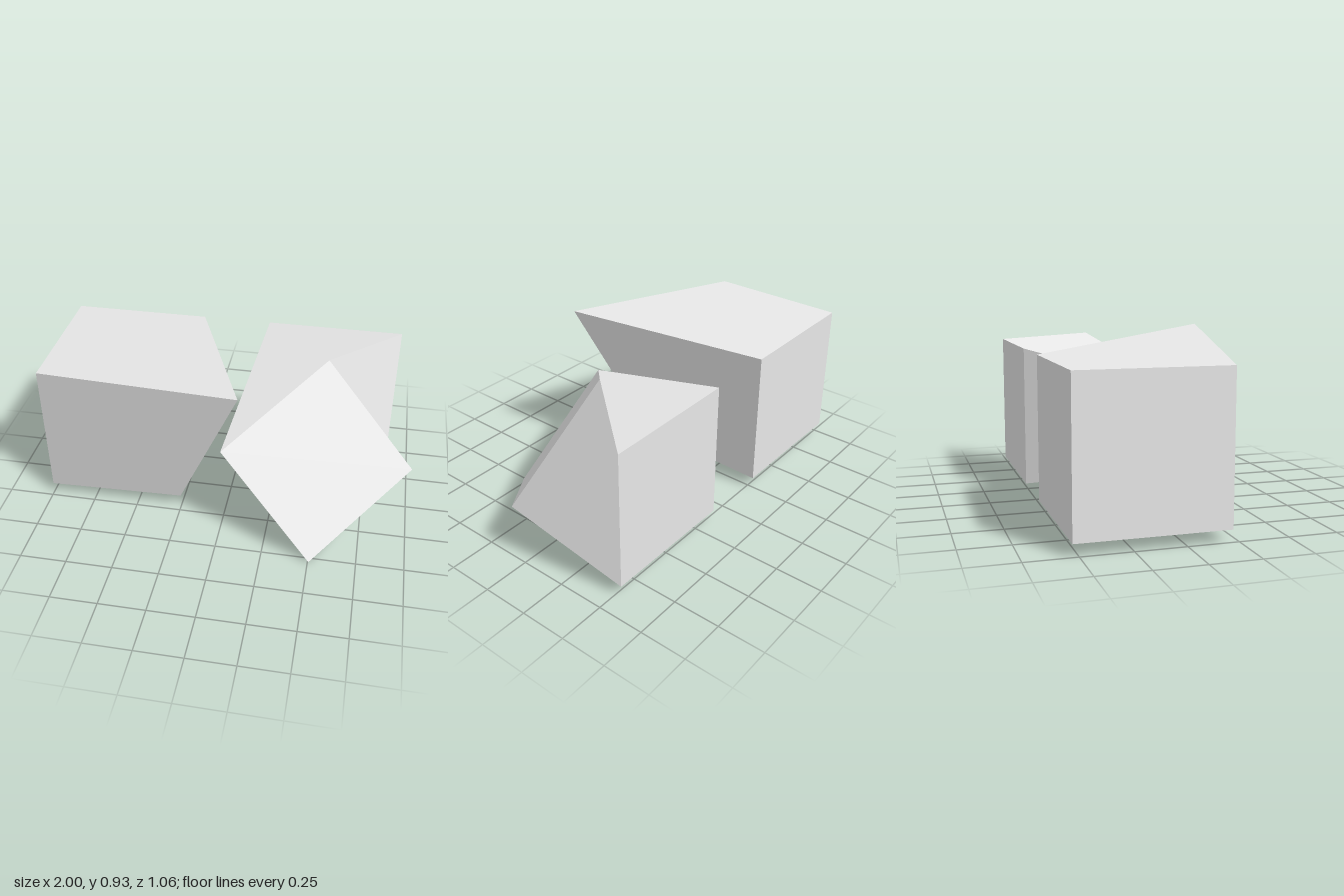
import * as THREE from 'three';

// Six faces, counter-clockwise from outside; each is split along its first-third corner.
// Corners 0-3 are the back (left-bottom, right-bottom, right-top, left-top in x/y), 4-7 the front.
const FACES = [
  [5, 7, 4, 6].length && [5, 6, 7, 4], // front
  [0, 3, 2, 1], // back
  [1, 2, 6, 5], // +x side
  [4, 7, 3, 0], // -x side
  [2, 3, 7, 6], // top
  [0, 1, 5, 4], // bottom
];
// First corner of the split on each face
const SPLIT = [5, 0, 1, 4, 2, 0];

// Six-sided block with one flat normal per face
function skewedBlock(corners) {
  const p = corners.map((c) => new THREE.Vector3(...c));
  const positions = [];
  const normals = [];
  FACES.forEach((face, f) => {
    const s = face.indexOf(SPLIT[f]);
    const [a, b, c, d] = [0, 1, 2, 3].map((i) => p[face[(s + i) % 4]]);
    const n = c.clone().sub(a).cross(d.clone().sub(b)).normalize();
    for (const v of [a, b, c, a, c, d]) {
      positions.push(v.x, v.y, v.z);
      normals.push(n.x, n.y, n.z);
    }
  });
  const geometry = new THREE.BufferGeometry();
  geometry.setAttribute('position', new THREE.Float32BufferAttribute(positions, 3));
  geometry.setAttribute('normal', new THREE.Float32BufferAttribute(normals, 3));
  return geometry;
}

// Square back face shared by both blocks
const backSquare = (x) => [
  [x, 0.06, -0.53], [x + 0.75, 0.06, -0.53], [x + 0.75, 0.81, -0.53], [x, 0.81, -0.53],
];

export function createModel() {
  const group = new THREE.Group();
  const grey = new THREE.MeshStandardMaterial({ color: 0xe7e7e7 });
  grey.name = 'light grey';

  const add = (name, x, front) => {
    const mesh = new THREE.Mesh(skewedBlock([...backSquare(x), ...front]), grey);
    mesh.name = name;
    group.add(mesh);
  };

  // Cube with one upper front corner pulled out
  add('stretchedCube', -1, [
    [-1, 0.06, 0.22], [-0.25, 0.08, 0.22], [0.11, 0.93, 0.45], [-1, 0.81, 0.22],
  ]);
  // Cube with its front face turned and tilted
  add('twistedCube', 0.13, [
    [0.505, 0, 0.53], [1, 0.32, 0.06], [0.505, 0.865, -0.09], [0.01, 0.55, 0.38],
  ]);
  return group;
}
